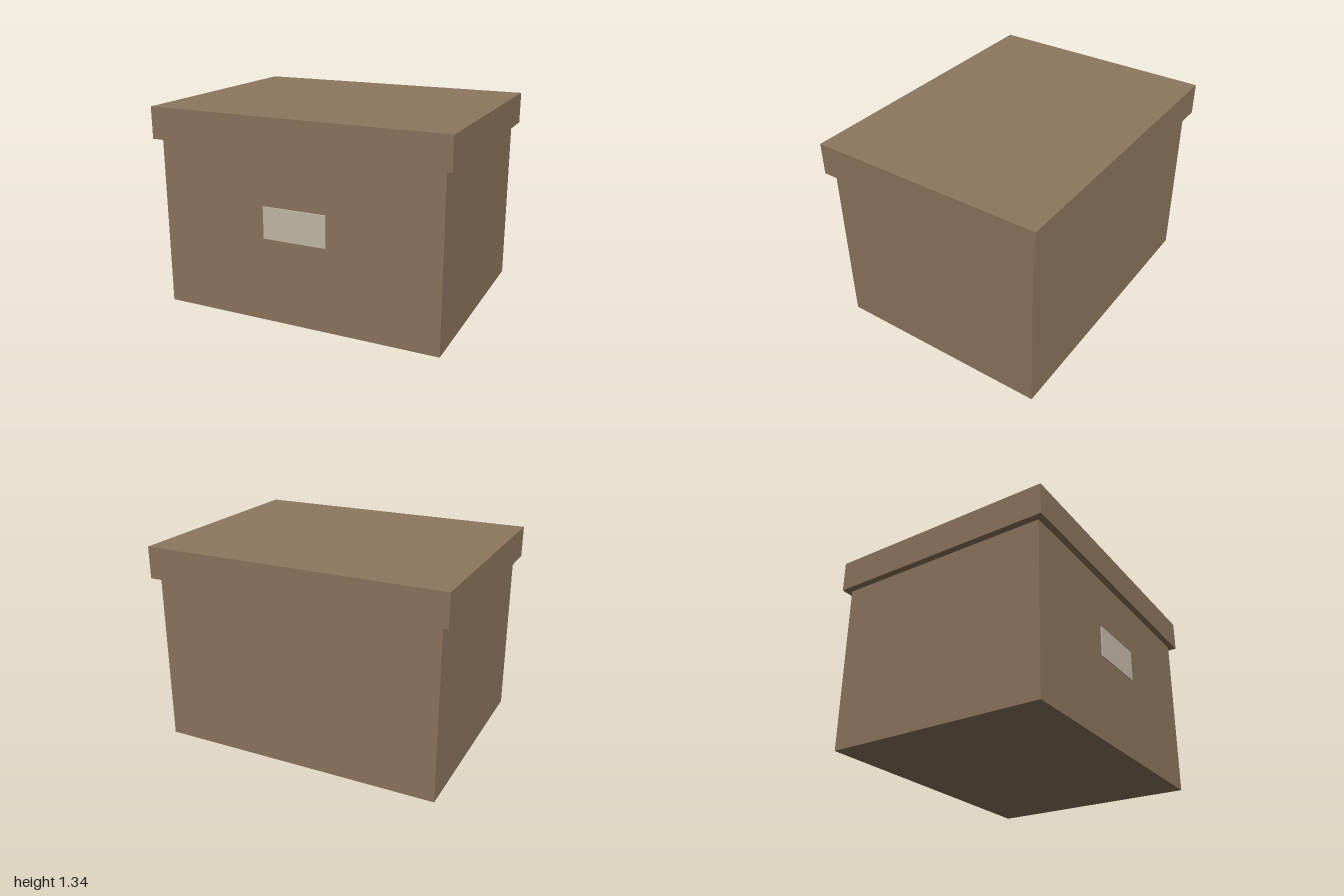
import * as THREE from 'three';

export function createModel() {
  const group = new THREE.Group();
  group.name = 'storageBox';

  const cardboard = new THREE.MeshStandardMaterial({ color: 0x8d765e });
  cardboard.name = 'brown cardboard';
  const paper = new THREE.MeshStandardMaterial({ color: 0xc5bba8 });
  paper.name = 'cream paper';

  // Box sized w x h x d, with its underside at y and its centre at z
  function addBox(name, w, h, d, y, z, material) {
    const mesh = new THREE.Mesh(new THREE.BoxGeometry(w, h, d), material);
    mesh.name = name;
    mesh.position.set(0, y + h / 2, z);
    group.add(mesh);
  }

  const bodyDepth = 1.465;
  const labelDepth = 0.009;

  // Main box
  addBox('body', 1.91, 1.13, bodyDepth, 0, 0, cardboard);
  // Overhanging lid
  addBox('lid', 2, 0.21, 1.55, 1.13, 0, cardboard);
  // Blank label plate on the front
  addBox('label', 0.43, 0.21, labelDepth, 0.56, (bodyDepth + labelDepth) / 2, paper);

  return group;
}
